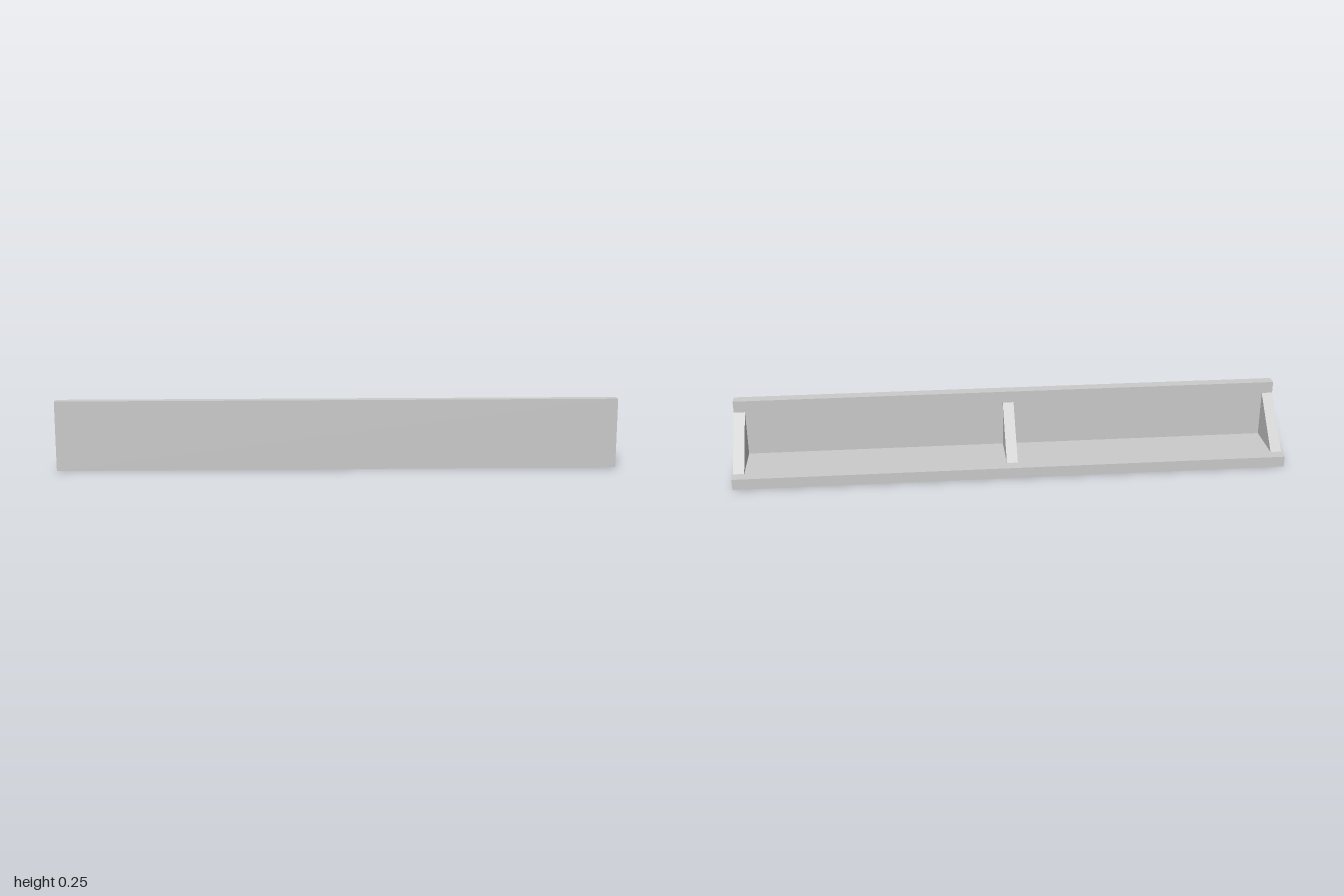
import * as THREE from 'three';

const LENGTH = 2, RIB = 0.04;

// Extrude a (z, y) profile along x, centred on x = 0
function extrudeAlongX(points, width) {
  const shape = new THREE.Shape(points.map(([z, y]) => new THREE.Vector2(z, y)));
  const geometry = new THREE.ExtrudeGeometry(shape, { depth: width, bevelEnabled: false });
  geometry.translate(0, 0, -width / 2);
  geometry.rotateY(-Math.PI / 2);
  return geometry;
}

export function createModel() {
  const group = new THREE.Group();
  group.name = 'angleBracket';
  const material = new THREE.MeshStandardMaterial({ color: 0xcccccc, flatShading: true });

  // L-shaped rail: upright front wall and flat base
  const rail = new THREE.Mesh(extrudeAlongX([
    [0.125, 0], [0.125, 0.25], [0.085, 0.25], [0.085, 0.04], [-0.125, 0.04], [-0.125, 0],
  ], LENGTH), material);
  rail.name = 'angleRail';
  group.add(rail);

  // Triangular gussets at both ends and the middle
  const gusset = extrudeAlongX([[0.085, 0.04], [0.085, 0.207], [-0.082, 0.04]], RIB);
  const end = (LENGTH - RIB) / 2;
  for (const [name, x] of [['rightGusset', -end], ['middleGusset', 0], ['leftGusset', end]]) {
    const mesh = new THREE.Mesh(gusset, material);
    mesh.name = name;
    mesh.position.x = x;
    group.add(mesh);
  }
  return group;
}
